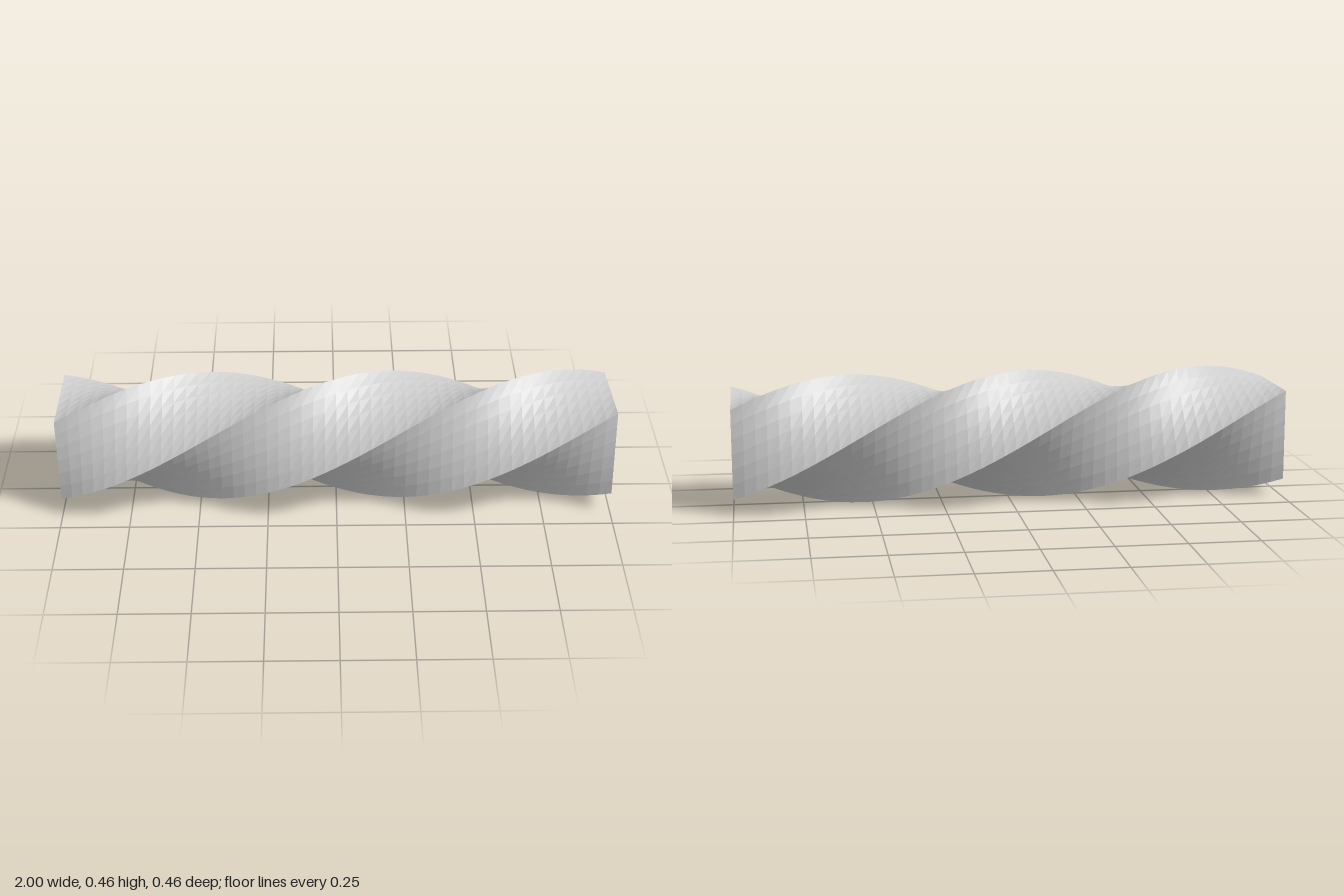
import * as THREE from 'three';

const LENGTH = 2;
const SIDE = 0.328;
const CENTRE_Y = 0.234;
const TWIST = THREE.MathUtils.degToRad(274.4);

// Square bar whose cross-section turns steadily about its long axis (x)
function twistedBarGeometry() {
  const geometry = new THREE.BoxGeometry(LENGTH, SIDE, SIDE, 48, 6, 6);
  const position = geometry.attributes.position;
  const point = new THREE.Vector3();
  const axis = new THREE.Vector3(1, 0, 0);
  for (let i = 0; i < position.count; i++) {
    point.fromBufferAttribute(position, i);
    const angle = -TWIST * (point.x / LENGTH + 0.5);
    point.applyAxisAngle(axis, angle);
    position.setXYZ(i, point.x, point.y, point.z);
  }
  geometry.computeVertexNormals();
  return geometry;
}

export function createModel() {
  const group = new THREE.Group();
  group.name = 'twistedSquareBar';

  const material = new THREE.MeshStandardMaterial({ color: 0xcccccc, flatShading: true });
  const bar = new THREE.Mesh(twistedBarGeometry(), material);
  bar.name = 'twistedBar';
  bar.position.y = CENTRE_Y;
  group.add(bar);

  return group;
}
